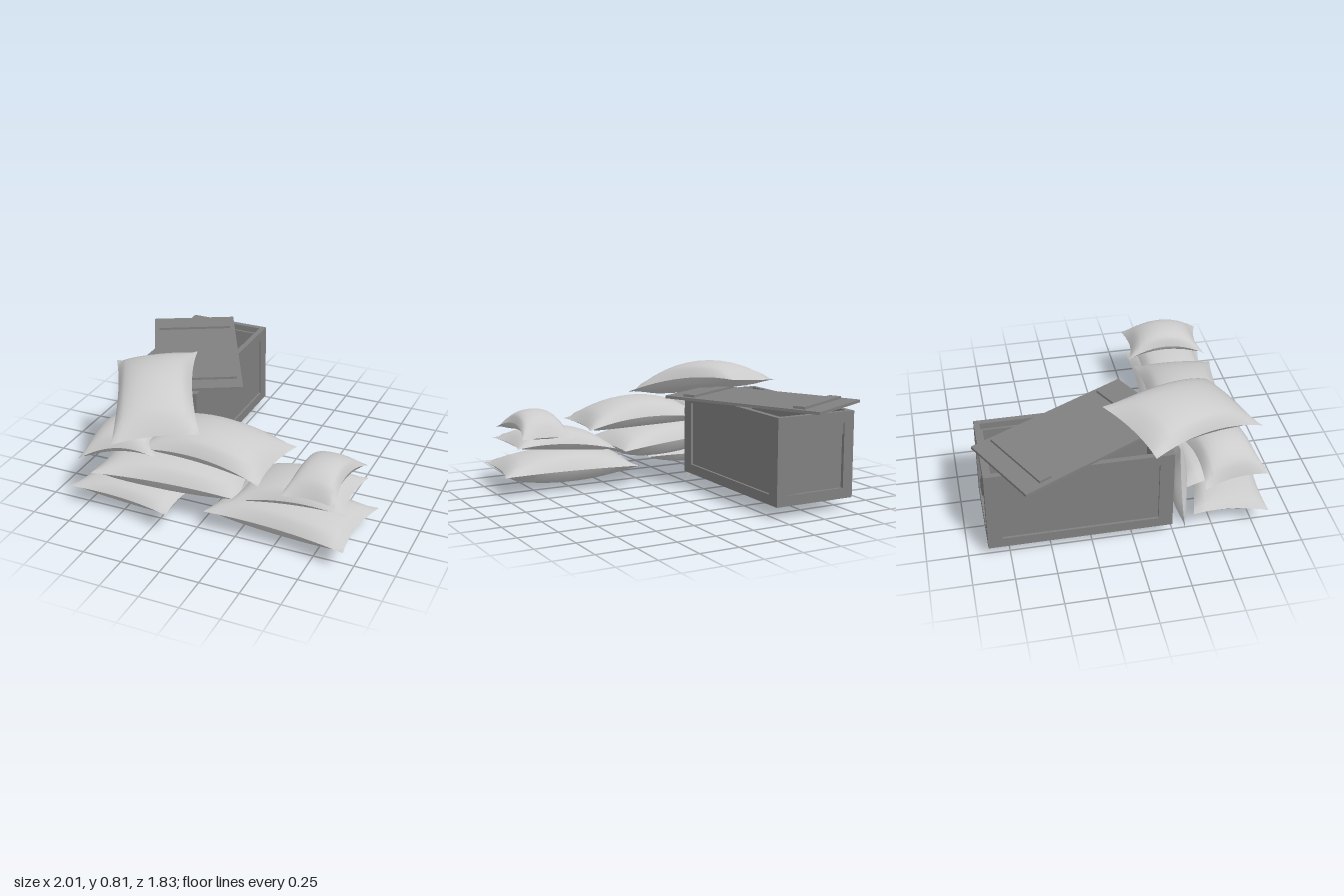
import * as THREE from 'three';
import { mergeGeometries } from 'three/addons/utils/BufferGeometryUtils.js';

const sackMat = new THREE.MeshStandardMaterial({ color: 0xcccccc, side: THREE.DoubleSide });
const crateMat = new THREE.MeshStandardMaterial({ color: 0x808080 });

// Half of a sack: a plane swollen to one side, with pinched edges and a draped bend
function sackHalf(len, wid, bulge, bendX, bendZ, flip) {
  const g = new THREE.PlaneGeometry(2, 2, 14, 12);
  g.rotateX(flip ? Math.PI / 2 : -Math.PI / 2);
  const p = g.attributes.position;
  for (let i = 0; i < p.count; i++) {
    const u = p.getX(i), v = p.getZ(i);
    const x = (len / 2) * u - 0.035 * u ** 3 * (1 - v * v);
    const z = (wid / 2) * v - 0.035 * v ** 3 * (1 - u * u);
    const swell = Math.pow(Math.max(0, (1 - u * u) * (1 - v * v)), 0.55);
    const y = (flip ? -1 : 1) * bulge * swell + bendX * (1 - u * u) + bendZ * (1 - v * v);
    p.setXYZ(i, x, y, z);
  }
  g.computeVertexNormals();
  return g;
}

function sack(s) {
  const bx = s.bendX ?? 0, bz = s.bendZ ?? 0;
  const [len, wid, up, down] = s.size;
  const mesh = new THREE.Mesh(mergeGeometries([
    sackHalf(len, wid, up, bx, bz, false),
    sackHalf(len, wid, down, bx, bz, true),
  ]), sackMat);
  mesh.name = s.name;
  mesh.position.set(...s.at);
  mesh.rotation.set(...s.rot, 'YXZ');
  return mesh;
}

// size: length, width, swell above and below the seam; rot: pitch, yaw, roll
const SACKS = [
  { name: 'bottomLeftSack', at: [0.53, 0.15, 0.55], size: [0.91, 0.53, 0.11, 0.11], rot: [0, -0.08, 0] },
  { name: 'middleLeftSack', at: [0.57, 0.295, 0.54], size: [0.72, 0.46, 0.09, 0.06], rot: [0, 0.02, 0.1], bendX: 0.03 },
  { name: 'topLeftSack', at: [0.725, 0.39, 0.525], size: [0.34, 0.53, 0.09, 0.06], rot: [0, -0.04, 0.03], bendZ: 0.06 },
  { name: 'bottomRightSack', at: [-0.46, 0.145, 0.64], size: [0.72, 0.46, 0.075, 0.08], rot: [0, -0.11, 0.02] },
  { name: 'middleRightSack', at: [-0.22, 0.28, 0.545], size: [0.94, 0.53, 0.11, 0.12], rot: [0, 0.13, -0.04] },
  { name: 'upperMiddleSack', at: [0.01, 0.425, 0.49], size: [0.84, 0.52, 0.11, 0.09], rot: [0, -0.07, -0.03], bendX: 0.045 },
  { name: 'upperRightSack', at: [-0.55, 0.39, 0.59], size: [0.5, 0.42, 0.11, 0.06], rot: [0, 0.18, 0.14], bendX: 0.055 },
  { name: 'topSack', at: [-0.45, 0.63, 0.375], size: [0.53, 0.86, 0.12, 0.08], rot: [0.176, 0.46, 0.11], bendZ: 0.05 },
  { name: 'uprightSack', at: [-0.535, 0.315, 0.31], size: [0.44, 0.62, 0.06, 0.06], rot: [Math.PI / 2 - 0.08, 0, 0.02] },
];

function box(name, w, h, d, x, y, z) {
  const m = new THREE.Mesh(new THREE.BoxGeometry(w, h, d), crateMat);
  m.name = name;
  m.position.set(x, y, z);
  return m;
}

// Crate wall facing +z: raised frame around a recessed board, outer face at z = 0
function framedWall(name, w, h, bx, by, recess, thick, brace) {
  const g = new THREE.Group();
  g.name = name;
  const rect = (P, a, b) => new P([[-a, -b], [a, -b], [a, b], [-a, b]].map(c => new THREE.Vector2(...c)));
  const shape = rect(THREE.Shape, w / 2, h / 2);
  const iw = w - 2 * bx, ih = h - 2 * by;
  shape.holes.push(rect(THREE.Path, iw / 2, ih / 2));
  const frame = new THREE.Mesh(new THREE.ExtrudeGeometry(shape, { depth: thick, bevelEnabled: false }), crateMat);
  frame.name = 'frame';
  frame.position.z = -thick;
  g.add(frame, box('board', iw, ih, thick - recess, 0, 0, -(thick + recess) / 2));
  if (brace) {
    // Diagonal band clipped to the frame opening
    const a = iw / 2, b = ih / 2, t = 0.07;
    const band = new THREE.Shape([[-a, -b], [-a + t, -b], [a, b - t], [a, b], [a - t, b], [-a, -b + t]]
      .map(c => new THREE.Vector2(...c)));
    const m = new THREE.Mesh(new THREE.ExtrudeGeometry(band, { depth: recess * 0.6, bevelEnabled: false }), crateMat);
    m.name = 'diagonalBrace';
    m.position.z = -recess;
    g.add(m);
  }
  return g;
}

function crate() {
  const g = new THREE.Group();
  g.name = 'crate';
  const W = 0.55, H = 0.54, D = 1.12, T = 0.035;
  for (const s of [1, -1]) {
    const end = framedWall(s > 0 ? 'frontEnd' : 'backEnd', W, H, 0.07, 0.065, 0.022, T, true);
    end.position.z = s * D / 2;
    end.rotation.y = s > 0 ? 0 : Math.PI;
    const side = framedWall(s > 0 ? 'leftWall' : 'rightWall', D - 2 * T, H, 0.052, 0.063, 0.015, T, false);
    side.position.x = s * W / 2;
    side.rotation.y = s * Math.PI / 2;
    // Inner ledge that carries the lid
    g.add(end, side,
      box('sideLedge', 0.015, 0.5, D - 2 * T, s * (W / 2 - T - 0.007), -0.02, 0),
      box('endLedge', W - 2 * T, 0.5, 0.015, 0, -0.02, s * (D / 2 - T - 0.007)));
  }
  const floor = framedWall('floor', W - 2 * T, D - 2 * T, 0.03, 0.03, 0.015, T, false);
  floor.position.y = -H / 2;
  floor.rotation.x = Math.PI / 2;
  g.add(floor);
  g.position.set(-0.515, 0.08 + H / 2, -0.32);
  return g;
}

// Loose lid lying askew with two cleats
function lid() {
  const g = new THREE.Group();
  g.name = 'lid';
  g.add(box('lidBoard', 0.555, 0.018, 1.105, 0, 0, 0));
  for (const s of [1, -1]) g.add(box('lidCleat', 0.49, 0.016, 0.08, 0, 0.016, s * 0.395));
  g.position.set(-0.5, 0.63, -0.3);
  g.rotation.y = 0.48;
  return g;
}

export function createModel() {
  const model = new THREE.Group();
  model.name = 'sandbagsAndCrate';
  model.add(crate(), lid(), ...SACKS.map(sack));
  return model;
}
